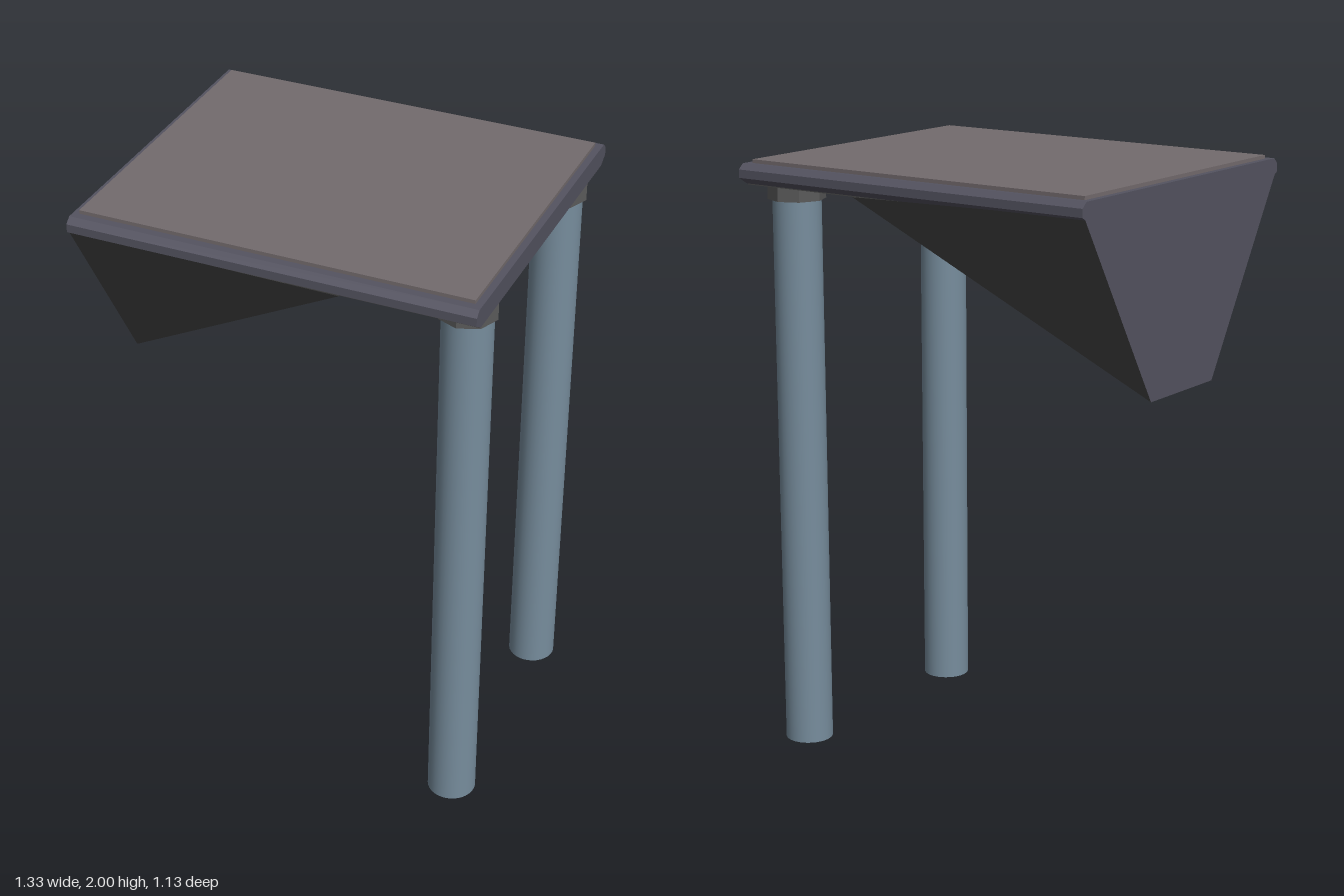
import * as THREE from 'three';

const mat = (color, extra = {}) => new THREE.MeshStandardMaterial({ color, ...extra });

// Four-cornered faces, each with one normal; split along the first and third corner
function quadsGeometry(quads) {
  const pos = [], norm = [];
  const v = (p) => new THREE.Vector3(...p);
  for (const [a, b, c, d] of quads) {
    const n = v(c).sub(v(a)).cross(v(d).sub(v(b))).normalize();
    for (const p of [a, b, c, a, c, d]) {
      pos.push(...p);
      norm.push(n.x, n.y, n.z);
    }
  }
  const geo = new THREE.BufferGeometry();
  geo.setAttribute('position', new THREE.Float32BufferAttribute(pos, 3));
  geo.setAttribute('normal', new THREE.Float32BufferAttribute(norm, 3));
  return geo;
}

export function createModel() {
  const group = new THREE.Group();
  const edgeMat = mat(0x545360);
  const topMat = mat(0x736b6d);
  const darkMat = mat(0x4a4a4a, { side: THREE.DoubleSide });
  const legMat = mat(0x778d9d, { side: THREE.DoubleSide });
  const collarMat = mat(0x5a5a5a, { flatShading: true });

  const add = (name, geo, material, x = 0, y = 0, z = 0) => {
    const mesh = new THREE.Mesh(geo, material);
    mesh.name = name;
    mesh.position.set(x, y, z);
    group.add(mesh);
  };

  // Table slab with bevelled long edges, profile swept along x
  const half = [[0.53, 1.921], [0.566, 1.943], [0.566, 1.97], [0.546, 1.988]];
  const outline = [...half, ...half.map(([z, y]) => [-z, y]).reverse()];
  const shape = new THREE.Shape(outline.map(([z, y]) => new THREE.Vector2(z, y)));
  const slab = new THREE.ExtrudeGeometry(shape, { depth: 1.328, bevelEnabled: false });
  slab.rotateY(-Math.PI / 2);
  add('tableSlab', slab, edgeMat, 0.6625);

  // Raised writing surface and plain underside
  add('topPanel', new THREE.BoxGeometry(1.285, 0.03, 1.045), topMat, -0.0025, 1.985, -0.0025);
  add('underside', new THREE.BoxGeometry(1.322, 0.004, 1.06), darkMat, -0.0025, 1.92, 0);

  // Wedge below the right-hand end: sloping strip, two side faces, end plate
  const x0 = -0.6655, x1 = 0.22;
  const corners = (s) => ({
    inner: [x1, 1.918, 0.18 * s],
    outer: [x1, 1.918, 0.535 * s],
    rim: [x0, 1.94, 0.555 * s],
    tip: [x0, 1.317, 0.18 * s],
  });
  const f = corners(1), b = corners(-1);
  add('wedge', quadsGeometry([
    [f.tip, b.tip, b.inner, f.inner],
    [f.tip, f.inner, f.outer, f.rim],
    [b.outer, b.inner, b.tip, b.rim],
  ].map((q, i) => (i === 1 ? [q[0], q[1], q[2], q[3]] : q))), darkMat);
  add('wedgeEnd', quadsGeometry([[b.rim, b.tip, f.tip, f.rim]]), edgeMat);

  // Two open tube legs with octagonal collars
  [['frontLeg', 0.385], ['backLeg', -0.395]].forEach(([name, z]) => {
    add(name, new THREE.CylinderGeometry(0.08, 0.08, 1.92, 32, 1, true), legMat, 0.568, 0.96, z);
    add(name + 'Collar', new THREE.CylinderGeometry(0.095, 0.095, 0.06, 8), collarMat, 0.568, 1.894, z);
  });

  return group;
}
